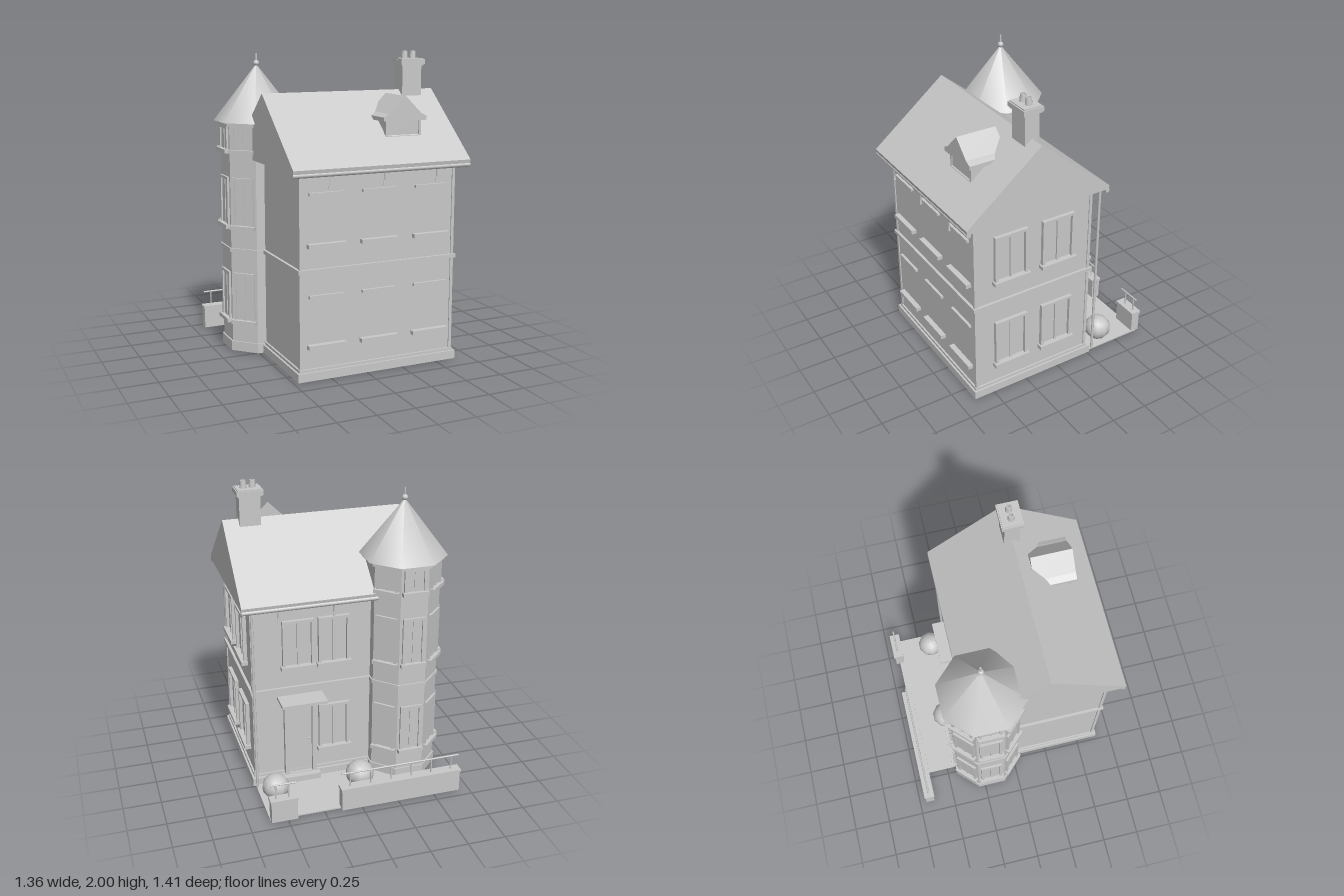
import * as THREE from 'three';

export function createModel() {
  const model = new THREE.Group();
  const stone = new THREE.MeshStandardMaterial({ color: 0xc8c8c8 });
  stone.name = 'light grey';

  const add = (name, geo, x = 0, y = 0, z = 0, parent = model) => {
    const m = new THREE.Mesh(geo, stone);
    m.name = name;
    m.position.set(x, y, z);
    parent.add(m);
    return m;
  };
  // box given by its limits on each axis
  const box = (name, x0, x1, y0, y1, z0, z1, parent = model) =>
    add(name, new THREE.BoxGeometry(x1 - x0, y1 - y0, z1 - z0), (x0 + x1) / 2, (y0 + y1) / 2, (z0 + z1) / 2, parent);
  const rod = (name, r, y0, y1, x, z, sides = 10) =>
    add(name, new THREE.CylinderGeometry(r, r, y1 - y0, sides), x, (y0 + y1) / 2, z);
  const rail = (name, r, x0, x1, y, z) =>
    add(name, new THREE.CylinderGeometry(r, r, x1 - x0, 10).rotateZ(Math.PI / 2), (x0 + x1) / 2, y, z);

  // house body
  box('walls', -0.455, 0.605, 0.06, 1.32, -0.23, 0.62);
  box('plinth', -0.48, 0.63, 0.01, 0.065, -0.26, 0.645);
  box('plinthStep', -0.467, 0.617, 0.065, 0.083, -0.242, 0.632);
  box('beltCourse', -0.473, 0.623, 0.69, 0.715, -0.248, 0.638);
  for (const x of [-0.452, 0.602])
    for (const z of [-0.227, 0.617])
      box('cornerStrip', x - 0.01, x + 0.01, 0.08, 1.31, z - 0.01, z + 0.01);

  // main roof, extruded along x
  const gable = new THREE.Shape([
    [-0.7, 1.31], [0.31, 1.31], [0.315, 1.335], [-0.195, 1.75], [-0.705, 1.335],
  ].map(([u, y]) => new THREE.Vector2(u, y)));
  add('roof', new THREE.ExtrudeGeometry(gable, { depth: 1.205, bevelEnabled: false }).rotateY(Math.PI / 2), -0.53);

  // gutters with small drops, and a down pipe
  for (const z of [0.69, -0.303]) {
    rail('gutter', 0.015, -0.53, 0.675, 1.302, z);
    for (const x of [-0.29, 0.075, 0.44]) {
      rod('gutterHook', 0.004, 1.24, 1.3, x, z, 6);
      add('gutterDrop', new THREE.ConeGeometry(0.009, 0.05, 6), x, 1.24, z);
    }
  }
  rod('downPipe', 0.009, 0.02, 1.3, 0.61, -0.295);

  // window facing local +z; a blind one has only the lintel and the sill
  const addWindow = (x, y, z, angle, w, h, blind = false, d = 0.025) => {
    const g = new THREE.Group();
    g.name = 'window';
    g.position.set(x, y, z);
    g.rotation.y = angle;
    model.add(g);
    const a = w / 2, b = h / 2, t = 0.018;
    box('lintel', -a, a, b - t, b, -0.005, d, g);
    box('sill', -a - 0.012, a + 0.012, -b - 0.012, -b + 0.014, -0.005, d + 0.018, g);
    if (blind) return;
    for (const s of [-1, 1]) {
      const c = s * (a - t / 2);
      box('jamb', c - t / 2, c + t / 2, -b, b, -0.005, d, g);
    }
    box('mullion', -0.007, 0.007, -b, b, -0.005, d * 0.6, g);
    box('glass', -a + t, a - t, -b, b, -0.002, 0.004, g);
  };
  for (const y of [0.387, 1.022]) {
    for (const x of [-0.285, 0.073, 0.437]) addWindow(x, y, 0.62, 0, 0.23, 0.325, true, 0.018);
    for (const z of [0.368, 0.023]) addWindow(0.605, y, z, Math.PI / 2, 0.235, 0.33);
    addWindow(0.06, y, -0.23, Math.PI, 0.21, 0.33);
  }
  addWindow(0.3, 1.022, -0.23, Math.PI, 0.21, 0.33);

  // back door with canopy and step
  box('door', 0.215, 0.375, 0.07, 0.57, -0.24, -0.22);
  for (const x of [0.2, 0.39]) box('doorJamb', x - 0.015, x + 0.015, 0.06, 0.59, -0.262, -0.22);
  box('doorHead', 0.185, 0.405, 0.565, 0.595, -0.262, -0.22);
  add('doorKnob', new THREE.SphereGeometry(0.008, 8, 6), 0.235, 0.31, -0.245);
  box('canopy', 0.14, 0.445, 0.63, 0.65, -0.38, -0.22);
  box('doorStep', 0.17, 0.42, 0.01, 0.06, -0.305, -0.24);

  // chimney
  box('chimney', 0.43, 0.57, 1.62, 1.92, 0.145, 0.245);
  box('chimneyCap', 0.412, 0.587, 1.915, 1.945, 0.125, 0.265);
  box('chimneyTop', 0.42, 0.579, 1.905, 1.952, 0.133, 0.257);
  for (const x of [0.47, 0.53]) {
    const pot = new THREE.LatheGeometry([[0.023, 0], [0.018, 0.055], [0.012, 0.055], [0.012, 0.01], [0, 0.01]]
      .map(([r, y]) => new THREE.Vector2(r, y)), 14).toNonIndexed();
    pot.computeVertexNormals();
    add('chimneyPot', pot, x, 1.945, 0.195);
  }

  // dormer
  box('dormerBody', 0.17, 0.415, 1.475, 1.62, 0.3, 0.515);
  const dormer = new THREE.Shape([
    [-0.152, 1.58], [0.152, 1.58], [0.152, 1.605], [0.112, 1.625], [0, 1.735], [-0.112, 1.625], [-0.152, 1.605],
  ].map(([x, y]) => new THREE.Vector2(x, y)));
  add('dormerRoof', new THREE.ExtrudeGeometry(dormer, { depth: 0.27, bevelEnabled: false }), 0.292, 0, 0.275);
  for (const x of [0.175, 0.41]) box('dormerJamb', x - 0.008, x + 0.008, 1.475, 1.585, 0.5, 0.522);
  box('dormerSill', 0.165, 0.42, 1.472, 1.485, 0.5, 0.525);

  // eight-sided corner tower
  const tx = -0.42, tz = -0.2, apothem = 0.225;
  const octagon = (name, a, y0, y1) => {
    const r = a / Math.cos(Math.PI / 8);
    const g = new THREE.CylinderGeometry(r, r, y1 - y0, 8).rotateY(Math.PI / 8).toNonIndexed();
    g.computeVertexNormals();
    return add(name, g, tx, (y0 + y1) / 2, tz);
  };
  octagon('towerBase', 0.235, 0.01, 0.075);
  octagon('towerWall', apothem, 0.07, 1.54);
  octagon('towerBelt', 0.235, 0.69, 0.715);
  octagon('towerCornice', 0.245, 1.52, 1.546);
  const coneR = 0.265 / Math.cos(Math.PI / 8);
  add('towerRoof', new THREE.ConeGeometry(coneR, 0.37, 8).rotateY(Math.PI / 8), tx, 1.73, tz);
  add('finialBall', new THREE.SphereGeometry(0.02, 14, 10), tx, 1.92, tz);
  rod('finialRod', 0.006, 1.9, 1.985, tx, tz);
  for (const k of [-1, -2, -3, 4, 3]) {
    const a = k * Math.PI / 4;
    const x = tx + Math.sin(a) * apothem, z = tz + Math.cos(a) * apothem;
    for (const [y, h] of [[0.382, 0.335], [1.022, 0.33], [1.44, 0.165]])
      addWindow(x, y, z, a, 0.15, h, false, 0.015);
  }

  // back garden: paving, walls with railings, round bushes
  box('paving', -0.465, 0.615, 0.01, 0.018, -0.675, -0.2);
  const gardenWall = (x0, x1, posts) => {
    box('gardenWall', x0 + 0.006, x1 - 0.006, 0.01, 0.155, -0.702, -0.642);
    box('wallCap', x0, x1, 0.152, 0.17, -0.708, -0.636);
    rail('handRail', 0.006, x0 + 0.01, x1 - 0.01, 0.268, -0.672);
    for (const x of posts) rod('railPost', 0.005, 0.16, 0.27, x, -0.672, 8);
  };
  gardenWall(-0.682, 0.148, [-0.62, -0.48, -0.34, -0.2, -0.06, 0.08]);
  gardenWall(0.432, 0.616, [0.49, 0.575]);
  for (const [x, z, r] of [[-0.07, -0.42, 0.097], [0.513, -0.413, 0.091]])
    add('bush', new THREE.SphereGeometry(r, 10, 8).scale(1, 0.087 / r, 1), x, 0.087, z);

  return model;
}
